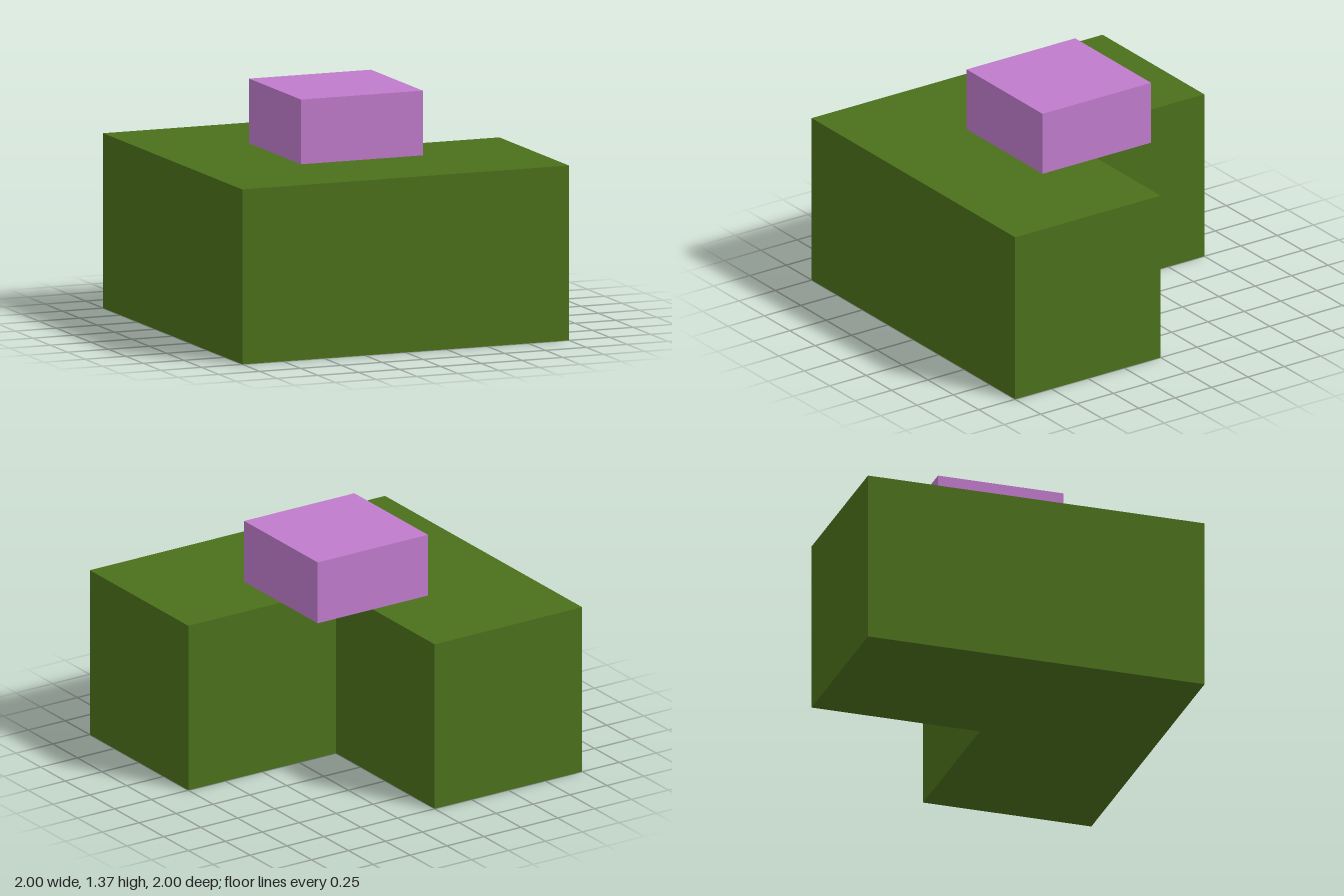
import * as THREE from 'three';

export function createModel() {
  const model = new THREE.Group();
  const add = (name, geometry, color) => {
    const mesh = new THREE.Mesh(geometry, new THREE.MeshStandardMaterial({ color }));
    mesh.name = name;
    model.add(mesh);
    return mesh;
  };

  // L-shaped base with its notch at the back left; plan drawn as (x, -z)
  const plan = new THREE.Shape(
    [[-1, -1], [1, -1], [1, 0], [0, 0], [0, 1], [-1, 1]].map(([x, y]) => new THREE.Vector2(x, y))
  );
  const base = new THREE.ExtrudeGeometry(plan, { depth: 1, bevelEnabled: false });
  base.rotateX(-Math.PI / 2);
  add('base', base, 0x4b701b);

  // Block on top, overhanging the notch
  const size = 0.746, height = 0.37;
  add('topBlock', new THREE.BoxGeometry(size, height, size), 0xc07bcc)
    .position.set(0, 1 + height / 2, 0);

  return model;
}
